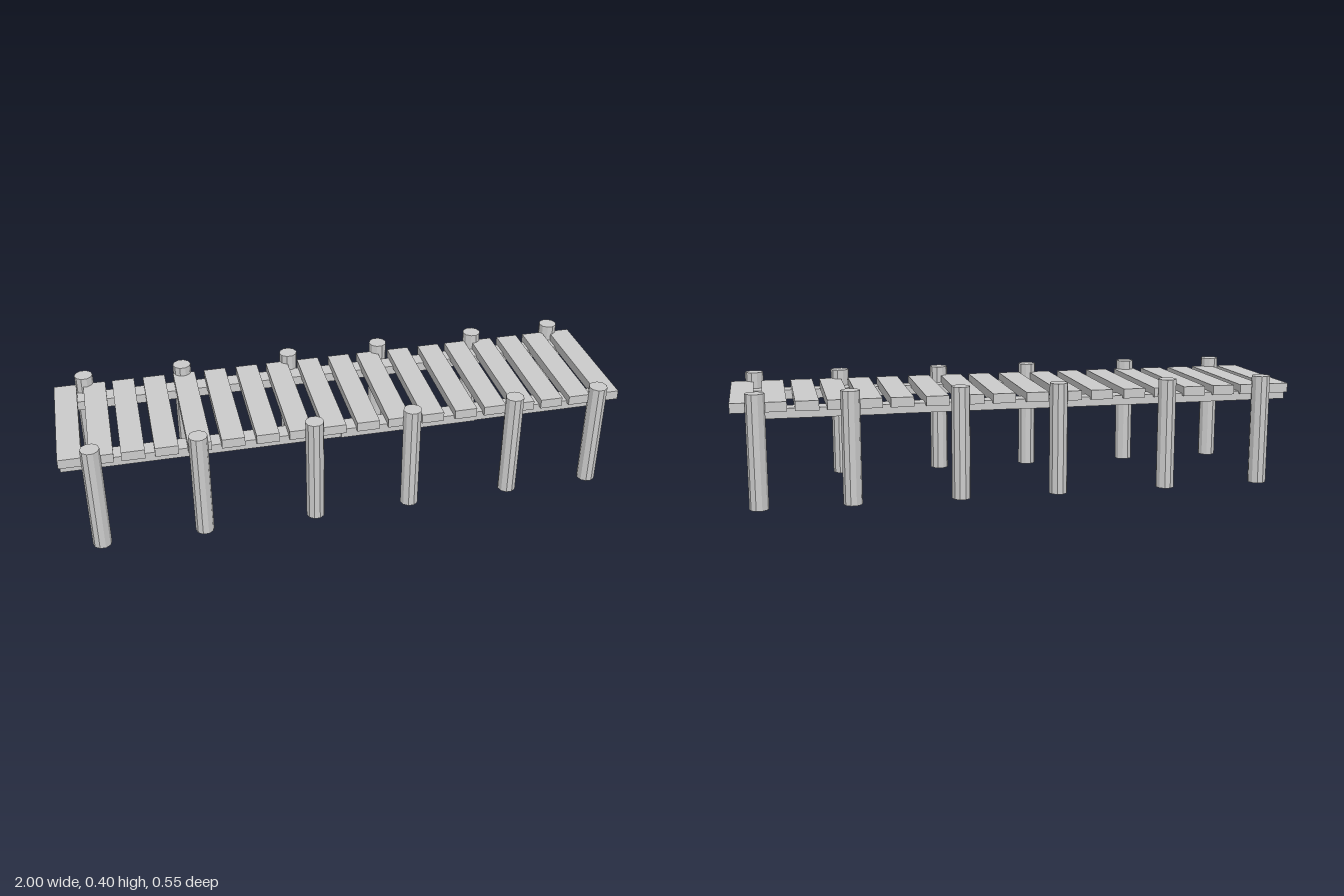
import * as THREE from 'three';

const material = new THREE.MeshStandardMaterial({ color: 0xcccccc, flatShading: true });

// Box given by its minimum and maximum corners
function box(name, [x0, y0, z0], [x1, y1, z1]) {
  const mesh = new THREE.Mesh(new THREE.BoxGeometry(x1 - x0, y1 - y0, z1 - z0), material);
  mesh.position.set((x0 + x1) / 2, (y0 + y1) / 2, (z0 + z1) / 2);
  mesh.name = name;
  return mesh;
}

export function createModel() {
  const pier = new THREE.Group();
  pier.name = 'pier';

  // Deck planks, laid crosswise with slightly uneven gaps
  const planks = new THREE.Group();
  planks.name = 'deckPlanks';
  const plankStarts = [-1, -0.895, -0.79, -0.677, -0.565, -0.45, -0.33, -0.215, -0.095,
    0.025, 0.137, 0.26, 0.382, 0.49, 0.597, 0.704, 0.811, 0.92];
  for (const x of plankStarts) {
    planks.add(box('plank', [x, 0.33, -0.238], [x + 0.08, 0.364, 0.242]));
  }
  pier.add(planks);

  // Long support beams, each in three lengths butted together
  const beams = new THREE.Group();
  beams.name = 'supportBeams';
  const joints = [-0.995, -0.03, 0.46, 0.94];
  for (const side of [1, -1]) {
    for (let i = 0; i < 3; i++) {
      const shift = i === 1 ? 0.004 : 0;
      const z = side * 0.191 + 0.002 + shift;
      beams.add(box('beam', [joints[i], 0.304, z - 0.032], [joints[i + 1], 0.338, z + 0.032]));
    }
  }
  pier.add(beams);

  // Ten-sided posts in pairs along both edges
  const posts = new THREE.Group();
  posts.name = 'posts';
  const postGeometry = new THREE.CylinderGeometry(0.033, 0.033, 0.397, 10, 1, false, Math.PI / 2);
  for (const x of [-0.89, -0.53, -0.128, 0.222, 0.6, 0.916]) {
    for (const z of [0.246, -0.245]) {
      const post = new THREE.Mesh(postGeometry, material);
      post.name = 'post';
      post.position.set(x, 0.1985, z);
      posts.add(post);
    }
  }
  pier.add(posts);

  return pier;
}
